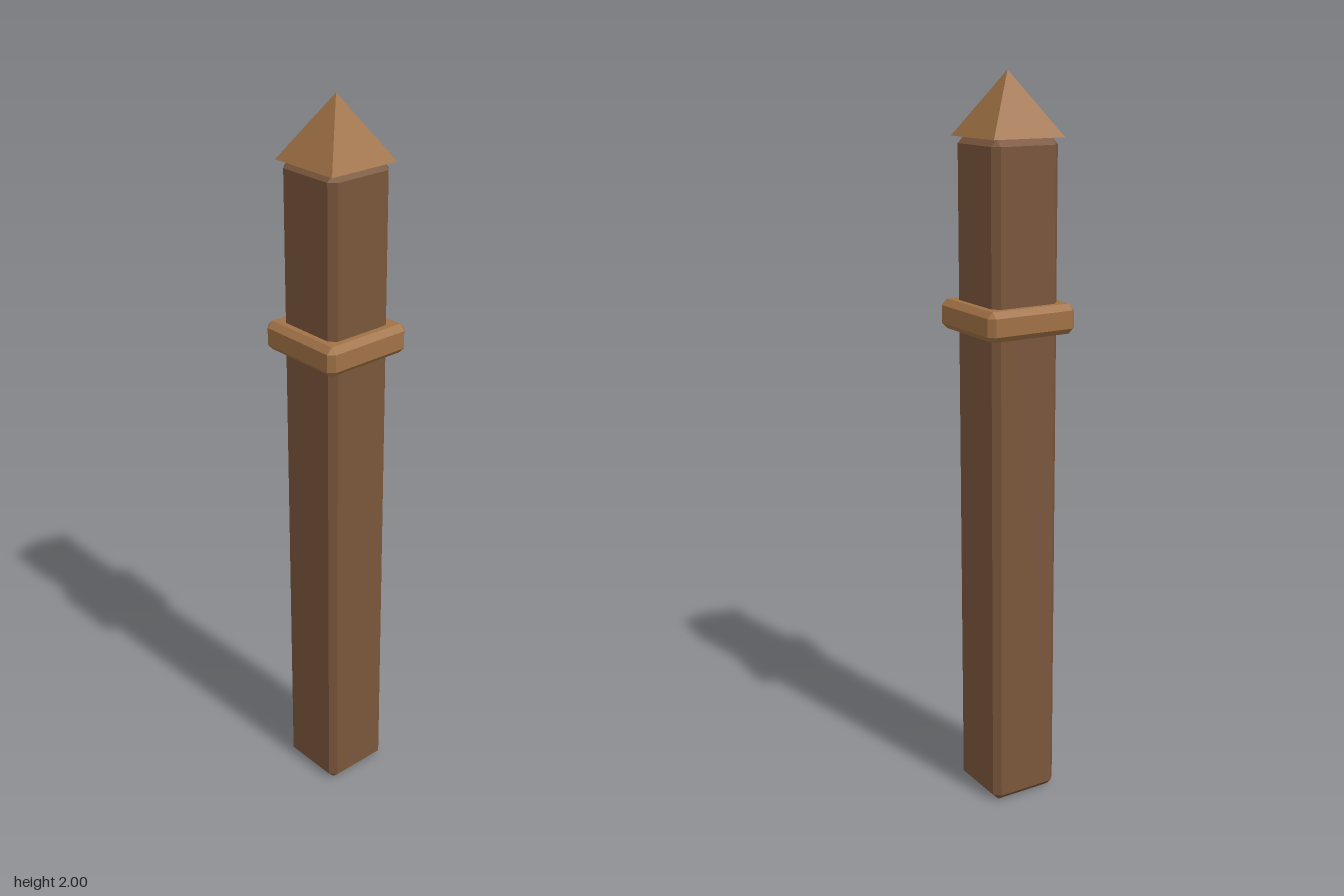
import * as THREE from 'three';
import { ConvexGeometry } from 'three/addons/geometries/ConvexGeometry.js';

// Square block from y0 to y1 with every edge and corner chamfered by b
function chamferedBlock(half, y0, y1, b) {
  const mid = (y0 + y1) / 2, hy = (y1 - y0) / 2;
  const points = [];
  for (const x of [-1, 1]) for (const y of [-1, 1]) for (const z of [-1, 1]) {
    for (let axis = 0; axis < 3; axis++) {
      const inset = [b, b, b];
      inset[axis] = 0;
      points.push(new THREE.Vector3(
        x * (half - inset[0]), mid + y * (hy - inset[1]), z * (half - inset[2])));
    }
  }
  return new ConvexGeometry(points);
}

export function createModel() {
  const darkWood = new THREE.MeshStandardMaterial({ color: 0x7a563b });
  darkWood.name = 'darkWood';
  const lightWood = new THREE.MeshStandardMaterial({ color: 0xa07246 });
  lightWood.name = 'lightWood';

  const model = new THREE.Group();
  model.name = 'fencePost';
  const add = (name, geometry, material) => {
    const mesh = new THREE.Mesh(geometry, material);
    mesh.name = name;
    model.add(mesh);
  };

  // Tall square shaft
  add('shaft', chamferedBlock(0.1, 0, 1.835, 0.018), darkWood);

  // Band around the upper shaft
  add('collar', chamferedBlock(0.133, 1.33, 1.41, 0.016), lightWood);

  // Four-sided pointed cap, slightly wider than the shaft
  const cap = new THREE.ConeGeometry(0.106 * Math.SQRT2, 0.165, 4).toNonIndexed();
  cap.rotateY(Math.PI / 4);
  cap.translate(0, 1.835 + 0.165 / 2, 0);
  cap.computeVertexNormals();
  add('cap', cap, lightWood);

  return model;
}
